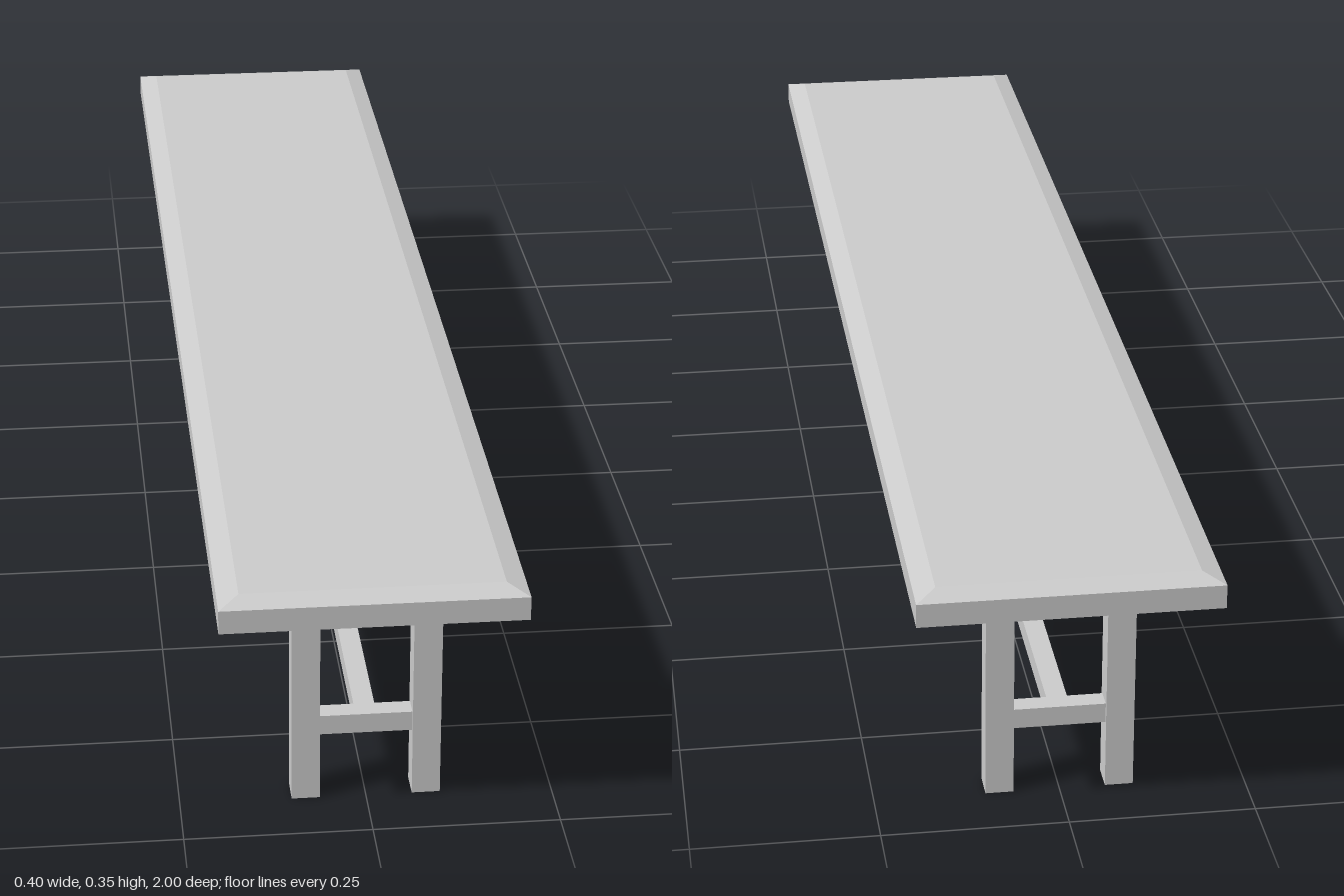
import * as THREE from 'three';

const material = new THREE.MeshStandardMaterial({ color: 0xcccccc, flatShading: true });

function addBox(parent, name, [w, h, d], [x, y, z]) {
  const mesh = new THREE.Mesh(new THREE.BoxGeometry(w, h, d), material);
  mesh.name = name;
  mesh.position.set(x, y, z);
  parent.add(mesh);
}

// Slab with a shallow bevel around its upper and lower edges
function bevelledSlab(w, h, d, inset, drop) {
  const indexed = new THREE.BoxGeometry(w, h, d, 1, 3, 1);
  const pos = indexed.attributes.position;
  for (let i = 0; i < pos.count; i++) {
    const y = pos.getY(i);
    if (Math.abs(y) > h * 0.4) {
      pos.setX(i, Math.sign(pos.getX(i)) * (w / 2 - inset));
      pos.setZ(i, Math.sign(pos.getZ(i)) * (d / 2 - inset));
    } else {
      pos.setY(i, Math.sign(y) * (h / 2 - drop));
    }
  }
  const geometry = indexed.toNonIndexed();
  geometry.computeVertexNormals();
  return geometry;
}

export function createModel() {
  const bench = new THREE.Group();
  bench.name = 'bench';

  const bottom = 0.297, top = 0.348;
  const leg = 0.038, legX = 0.081, legZ = 0.896;
  const rail = 0.028, railY = 0.109;

  const seat = new THREE.Mesh(bevelledSlab(0.402, top - bottom, 2, 0.028, 0.009), material);
  seat.name = 'seat';
  seat.position.y = (top + bottom) / 2;
  bench.add(seat);

  // H-shaped leg frame at each end
  for (const end of [1, -1]) {
    const frame = new THREE.Group();
    frame.name = end > 0 ? 'frontLegFrame' : 'backLegFrame';
    frame.position.z = end * legZ;
    for (const side of [1, -1]) {
      addBox(frame, side > 0 ? 'leftLeg' : 'rightLeg', [leg, bottom, leg], [side * legX, bottom / 2, 0]);
    }
    addBox(frame, 'crossbar', [2 * legX - leg, rail, rail], [0, railY, 0]);
    bench.add(frame);
  }

  // Long rail joining the two crossbars
  addBox(bench, 'stretcher', [rail, rail, 2 * legZ - rail], [0, railY, 0]);

  return bench;
}
